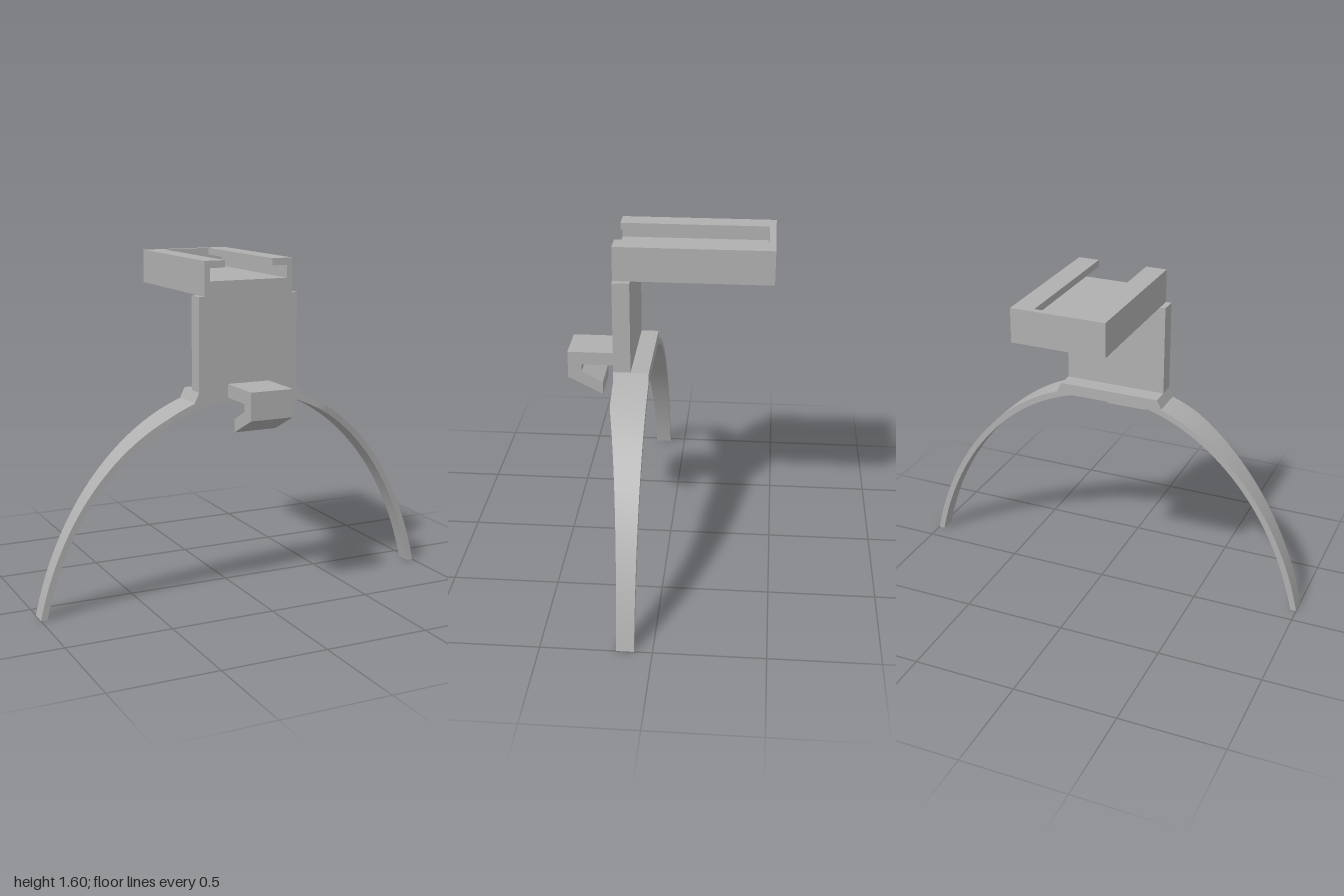
import * as THREE from 'three';

const grey = new THREE.MeshStandardMaterial({ color: 0xb0b0b0 });
grey.name = 'grey plastic';

const FRONT = 0.245, BACK = 0.081;

function part(name, geometry) {
  const mesh = new THREE.Mesh(geometry, grey);
  mesh.name = name;
  return mesh;
}

function box(name, x, y0, y1, z0, z1) {
  const g = new THREE.BoxGeometry(2 * x, y1 - y0, z1 - z0);
  g.translate(0, (y0 + y1) / 2, (z0 + z1) / 2);
  return part(name, g);
}

function extrude(points, depth) {
  const shape = new THREE.Shape(points.map(([x, y]) => new THREE.Vector2(x, y)));
  return new THREE.ExtrudeGeometry(shape, { depth, bevelEnabled: false });
}

// Closed outline from its right half, listed from bottom to top
function mirrored(half) {
  return [...half, ...half.map(([x, y]) => [-x, y]).reverse()];
}

// Arched band: a bar bent along an elliptical arc, narrowing toward the tips
function bandGeometry() {
  const g = new THREE.BoxGeometry(2, 1, 1, 96, 1, 1);
  const p = g.attributes.position;
  const centreY = -0.4;
  for (let i = 0; i < p.count; i++) {
    const outer = p.getY(i) > 0;
    const b = outer ? 1.4 : 1.37;
    const endX = outer ? 1 : 0.97;
    const maxAngle = Math.acos(-centreY / b);
    const angle = p.getX(i) * maxAngle;
    const x = endX * Math.sin(angle) / Math.sin(maxAngle);
    const t = THREE.MathUtils.clamp((Math.abs(x) / endX - 0.4) / 0.6, 0, 1);
    const frontZ = FRONT - 0.085 * (1 - Math.pow(1 - t, 1.4));
    p.setXYZ(i, x, centreY + b * Math.cos(angle), p.getZ(i) > 0 ? frontZ : BACK);
  }
  g.computeVertexNormals();
  return g;
}

export function createModel() {
  const model = new THREE.Group();
  model.name = 'headbandMount';

  model.add(part('band', bandGeometry()));

  // Foot that blends the upright into the band
  const foot = extrude(mirrored([[0.24, 0.945], [0.272, 0.955], [0.25, 1.0]]), FRONT - BACK);
  foot.translate(0, 0, BACK);
  model.add(part('foot', foot));

  model.add(box('upright', 0.25, 0.96, 1.435, 0.165, FRONT));

  // Tray with an undercut channel, open at the front and closed at the back
  const tray = new THREE.Group();
  tray.name = 'tray';
  const rails = extrude([
    [-0.222, 1.435], [0.222, 1.435], [0.222, 1.595], [0.12, 1.595], [0.12, 1.562], [0.195, 1.562],
    [0.195, 1.503], [-0.195, 1.503], [-0.195, 1.562], [-0.12, 1.562], [-0.12, 1.595], [-0.222, 1.595],
  ], FRONT + 0.45);
  rails.translate(0, 0, -0.45);
  tray.add(part('channel', rails), box('backWall', 0.222, 1.435, 1.595, -0.48, -0.45));
  model.add(tray);

  // Front hook, drawn as a side profile (z, y) and swept across x
  const hook = extrude([
    [0.2, 0.967], [0.415, 0.967], [0.415, 0.932], [0.315, 0.878],
    [0.315, 0.817], [0.48, 0.9], [0.48, 1.03], [0.2, 1.03],
  ], 0.21);
  hook.translate(0, 0, -0.105);
  hook.rotateY(-Math.PI / 2);
  model.add(part('hook', hook));

  return model;
}
